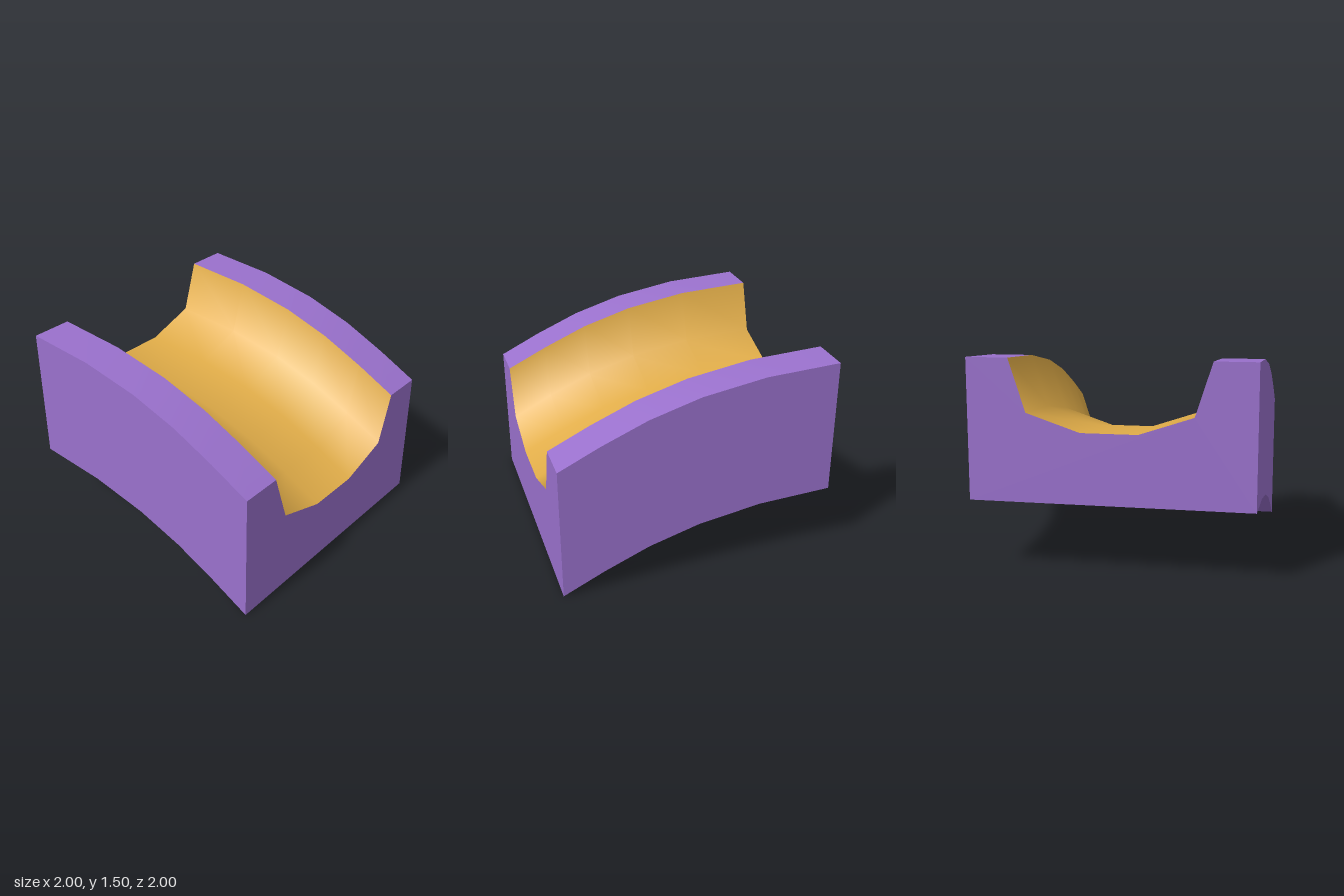
import * as THREE from 'three';

const purple = new THREE.MeshStandardMaterial({ color: 0x9a71cd });
purple.name = 'purple';
const gold = new THREE.MeshStandardMaterial({ color: 0xe0ac48 });
gold.name = 'gold';

// Stations along the curved block: [x, top height]
const stations = [[-1, 1.5], [-0.46, 1.472], [0, 1.395], [0.37, 1.285], [0.7, 1.145], [1, 1]];

// Half-pipe cross-section: [z, height relative to the rim]
const channelProfile = [[0.7, 0], [0.58, -0.373], [0.2, -0.5], [-0.2, -0.5], [-0.58, -0.373], [-0.7, 0]];

// Sweeps an open profile along the stations, smooth within the strip
function sweep(name, profile, material) {
  const n = profile.length;
  const positions = [];
  const index = [];
  stations.forEach(([x, top], i) => {
    profile.forEach(([z, dy], j) => {
      positions.push(x, top + dy, z);
      if (i < stations.length - 1 && j < n - 1) {
        const a = i * n + j, b = a + n;
        index.push(a, b, a + 1, b, b + 1, a + 1);
      }
    });
  });
  const geometry = new THREE.BufferGeometry();
  geometry.setAttribute('position', new THREE.Float32BufferAttribute(positions, 3));
  geometry.setIndex(index);
  geometry.computeVertexNormals();
  const mesh = new THREE.Mesh(geometry, material);
  mesh.name = name;
  return mesh;
}

// Flat end face with the channel cut out of its top edge
function endCap(name, side) {
  const outline = [[1, 0], ...channelProfile, [-1, 0], [-1, -1], [1, -1]];
  const shape = new THREE.Shape(outline.map(([z, y]) => new THREE.Vector2(z, y)));
  const mesh = new THREE.Mesh(new THREE.ShapeGeometry(shape), purple);
  mesh.rotation.y = side * Math.PI / 2;
  mesh.position.set(side, side > 0 ? 1 : 1.5, 0);
  mesh.name = name;
  return mesh;
}

export function createModel() {
  const model = new THREE.Group();
  model.name = 'curvedChannelBlock';
  model.add(
    sweep('channel', channelProfile, gold),
    sweep('frontRim', [[1, 0], [0.7, 0]], purple),
    sweep('backRim', [[-0.7, 0], [-1, 0]], purple),
    sweep('backWall', [[-1, 0], [-1, -1]], purple),
    sweep('underside', [[-1, -1], [1, -1]], purple),
    sweep('frontWall', [[1, -1], [1, 0]], purple),
    endCap('lowEnd', 1),
    endCap('highEnd', -1),
  );
  return model;
}
